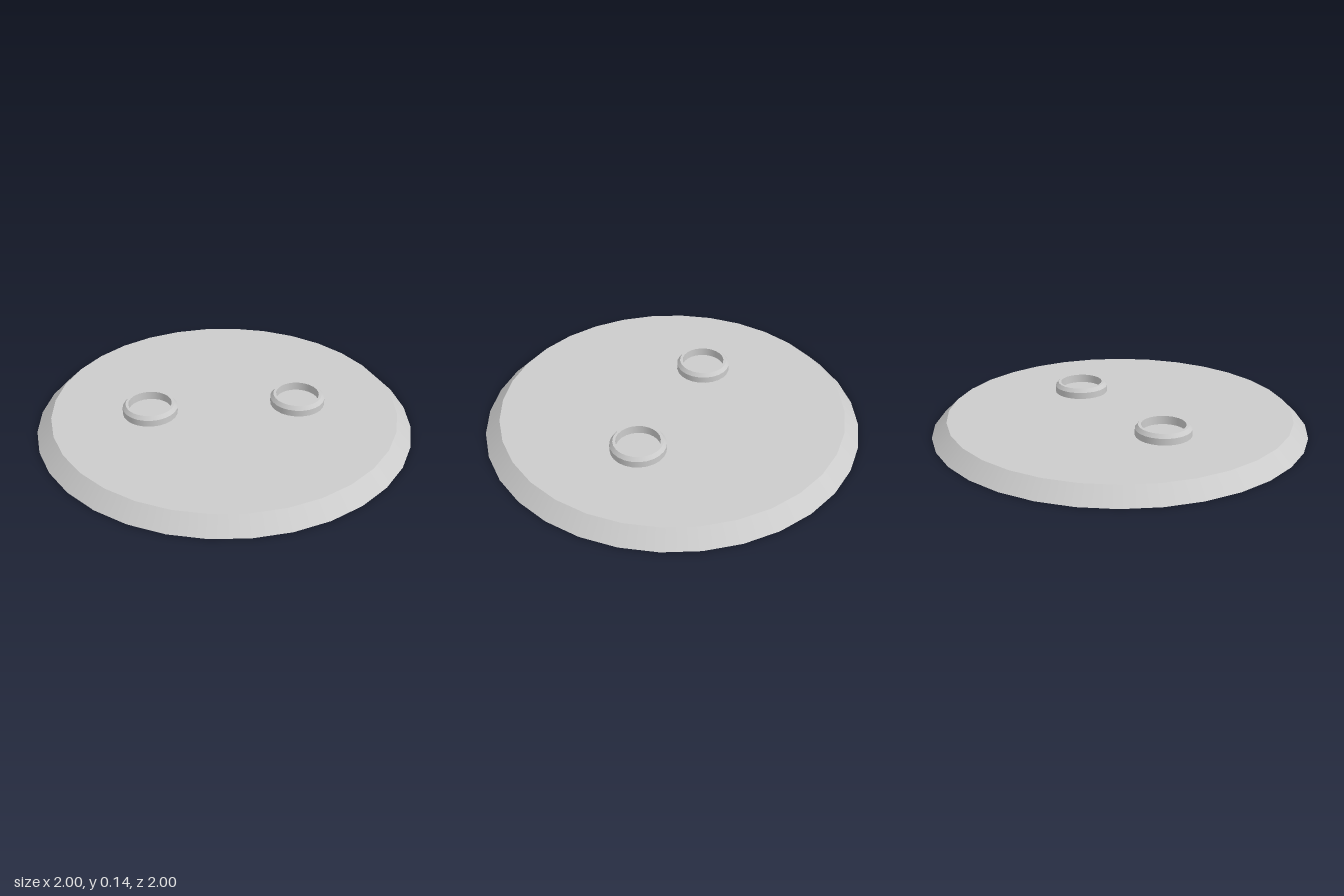
import * as THREE from 'three';

const material = new THREE.MeshStandardMaterial({ color: 0xcccccc, side: THREE.DoubleSide });

// Revolves each profile stretch separately so the edges between them stay sharp
function revolve(name, profile, segments) {
  const group = new THREE.Group();
  group.name = name;
  for (let i = 0; i < profile.length - 1; i++) {
    const points = [profile[i], profile[i + 1]].map(([r, y]) => new THREE.Vector2(r, y));
    const mesh = new THREE.Mesh(new THREE.LatheGeometry(points, segments), material);
    mesh.name = name + 'Band' + (i + 1);
    group.add(mesh);
  }
  return group;
}

export function createModel() {
  const model = new THREE.Group();
  model.name = 'discWithCups';
  const cupX = 0.397, cupRadius = 0.146, topY = 0.08;

  // Sloping rim, open underneath
  model.add(revolve('slopingRim', [[1, 0], [0.92, topY]], 32));

  // Flat top plate with an opening under each cup
  const plate = new THREE.Shape();
  for (let i = 0; i < 32; i++) {
    const a = (i / 32) * Math.PI * 2;
    plate[i ? 'lineTo' : 'moveTo'](0.92 * Math.cos(a), 0.92 * Math.sin(a));
  }
  for (const side of [-1, 1]) {
    plate.holes.push(new THREE.Path().absarc(side * cupX, 0, cupRadius, 0, Math.PI * 2, true));
  }
  const top = new THREE.Mesh(new THREE.ShapeGeometry(plate, 12), material);
  top.name = 'topPlate';
  top.rotation.x = -Math.PI / 2;
  top.position.y = topY;
  model.add(top);

  // Shallow cups: outer wall, bevel, lip, inner wall and recessed floor
  const cupProfile = [[cupRadius, topY], [cupRadius, 0.115], [0.13, 0.135], [0.115, 0.135], [0.115, 0.09], [0, 0.09]];
  for (const side of [-1, 1]) {
    const cup = revolve(side > 0 ? 'leftCup' : 'rightCup', cupProfile, 24);
    // Underside closing the cup just above the plate
    const base = new THREE.Mesh(new THREE.CircleGeometry(cupRadius, 24), material);
    base.name = 'cupBase';
    base.rotation.x = Math.PI / 2;
    base.position.y = 0.088;
    cup.add(base);
    cup.position.x = side * cupX;
    model.add(cup);
  }
  return model;
}
